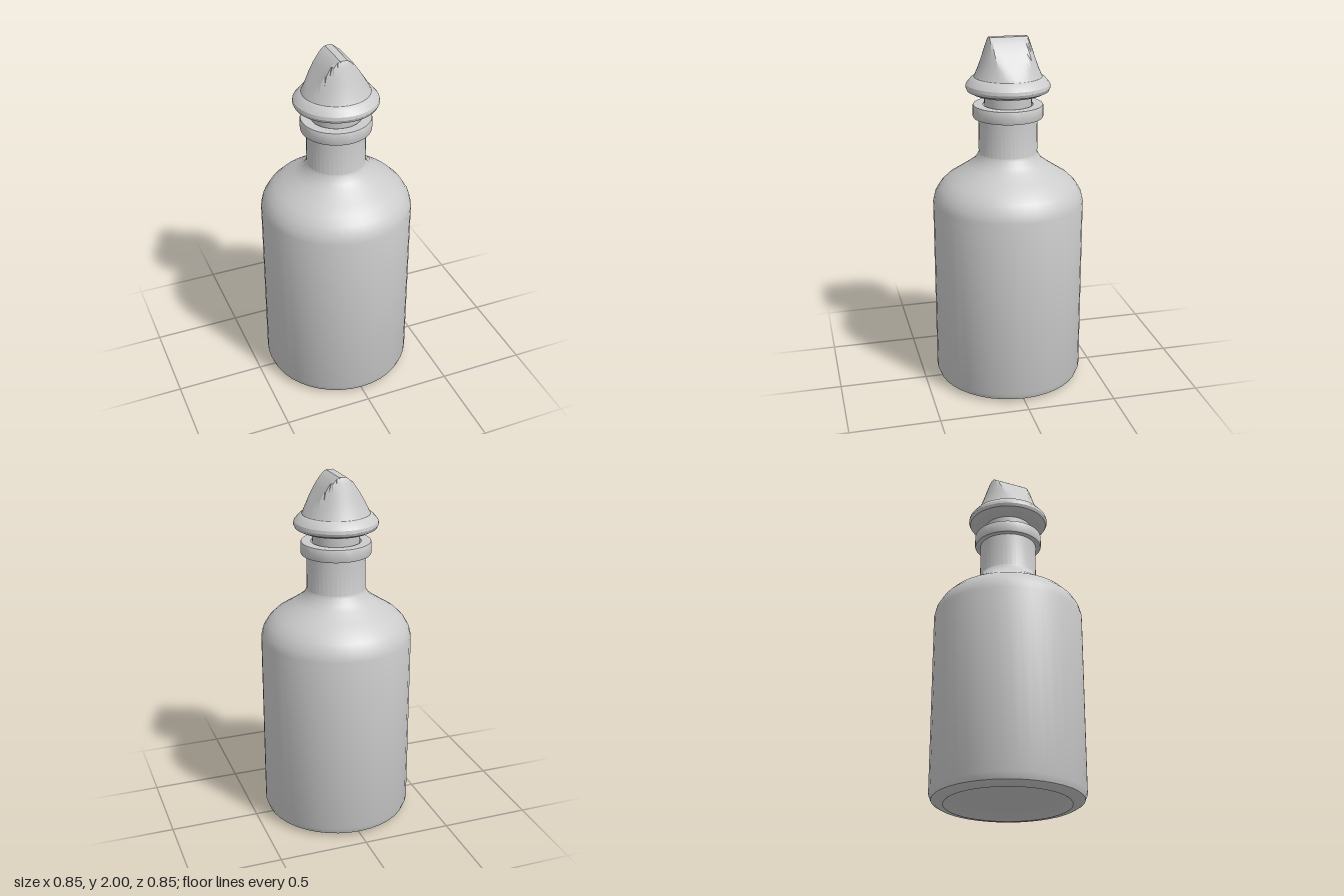
import * as THREE from 'three';
import { toCreasedNormals } from 'three/addons/utils/BufferGeometryUtils.js';

const SEGMENTS = 40;
const material = new THREE.MeshStandardMaterial({ color: 0xcccccc });

// Profile points are [radius, height], running up the outside of the part
function turned(name, profile, reshape) {
  const points = profile.map(([r, y]) => new THREE.Vector2(r, y));
  const geometry = new THREE.LatheGeometry(points, SEGMENTS);
  if (reshape) reshape(geometry.attributes.position);
  const mesh = new THREE.Mesh(toCreasedNormals(geometry, 0.45), material);
  mesh.name = name;
  return mesh;
}

// Pinch the conical grip into a ridge that runs along z
function pinchGrip(position) {
  for (let i = 0; i < position.count; i++) {
    const y = position.getY(i);
    if (y < 1.8) continue;
    const half = y > 1.97
      ? THREE.MathUtils.mapLinear(y, 1.97, 2, 0.06, 0.02)
      : THREE.MathUtils.mapLinear(y, 1.8, 1.97, 0.18, 0.06);
    position.setX(i, THREE.MathUtils.clamp(position.getX(i), -half, half));
  }
}

export function createModel() {
  const model = new THREE.Group();
  model.name = 'stopperedBottle';

  // Hollow bottle: recessed base, straight wall, round shoulder, neck and lip
  const bottle = turned('bottle', [
    [0, 0.04], [0.2, 0.035], [0.31, 0.02], [0.345, 0], [0.385, 0.005],
    [0.41, 0.02], [0.423, 0.055], [0.423, 1.08],
    [0.412, 1.125], [0.385, 1.17], [0.345, 1.21], [0.29, 1.245],
    [0.23, 1.285], [0.19, 1.315], [0.17, 1.345], [0.163, 1.36],
    [0.163, 1.56], [0.192, 1.56], [0.195, 1.567], [0.195, 1.623], [0.192, 1.63],
    [0.138, 1.63], [0.135, 1.34],
    [0.2, 1.27], [0.3, 1.2], [0.37, 1.13], [0.39, 1.07],
    [0.39, 0.08], [0.36, 0.05], [0, 0.06],
  ]);

  // Stopper: plug in the neck, rounded flange and a pinched finger grip
  const stopper = turned('stopper', [
    [0, 1.36], [0.115, 1.36], [0.13, 1.63], [0.132, 1.695],
    [0.195, 1.695], [0.225, 1.71], [0.233, 1.727], [0.23, 1.745],
    [0.205, 1.775], [0.187, 1.785], [0.18, 1.8],
    [0.163, 1.84], [0.149, 1.88], [0.134, 1.925], [0.119, 1.97],
    [0.112, 1.99], [0.107, 2], [0, 2],
  ], pinchGrip);

  model.add(bottle, stopper);
  return model;
}
